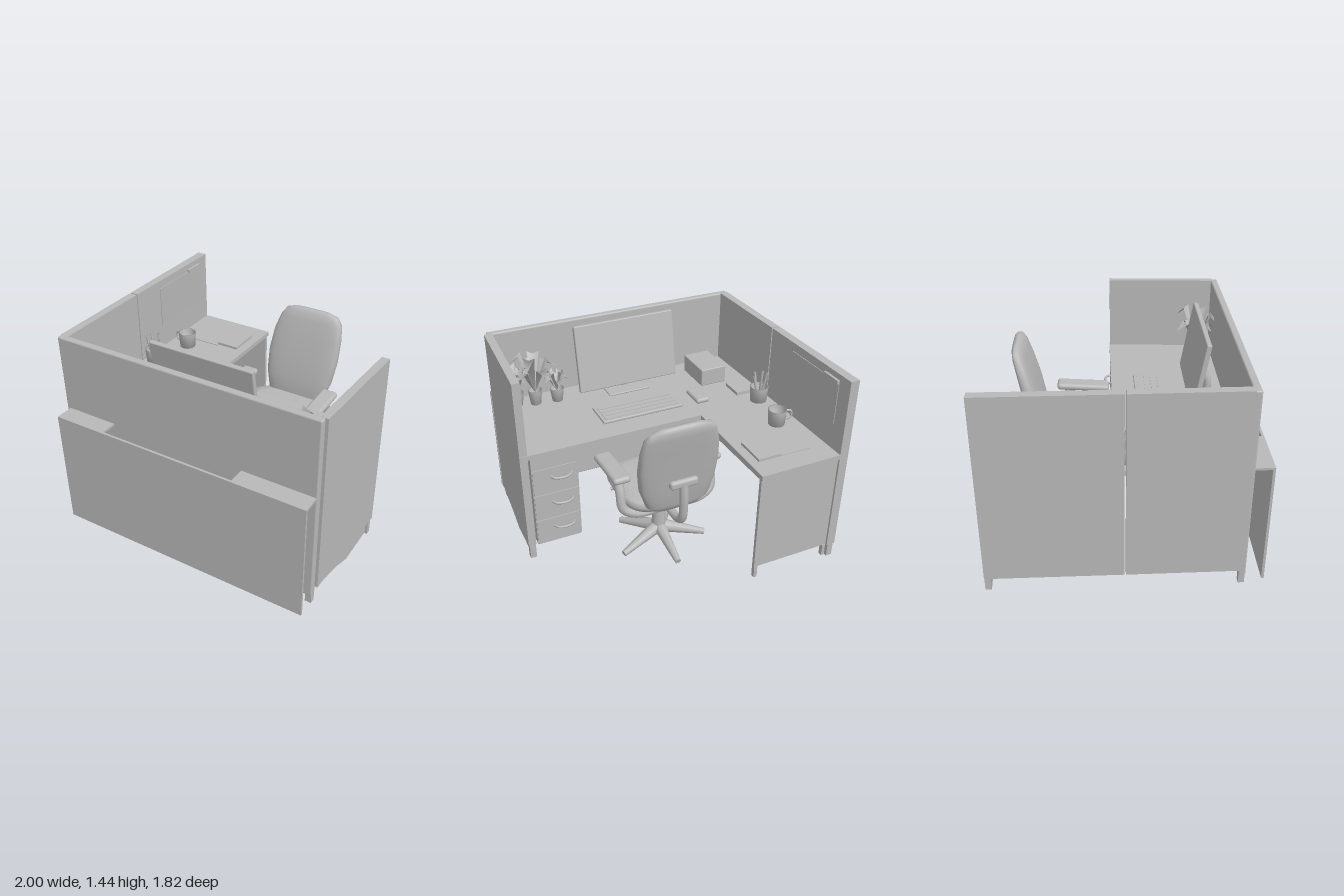
import * as THREE from 'three';
import { RoundedBoxGeometry } from 'three/addons/geometries/RoundedBoxGeometry.js';

export function createModel() {
  const root = new THREE.Group();
  const grey = new THREE.MeshStandardMaterial({ color: 0xb8b8b8, side: THREE.DoubleSide });
  grey.name = 'plain grey';

  const add = (name, geo, parent = root) => {
    const m = new THREE.Mesh(geo, grey);
    m.name = name;
    parent.add(m);
    return m;
  };
  const group = (name) => {
    const g = new THREE.Group();
    g.name = name;
    root.add(g);
    return g;
  };
  // box from its limits, optionally rounded
  const box = (name, x0, x1, y0, y1, z0, z1, r = 0, parent = root) => {
    const s = [x1 - x0, y1 - y0, z1 - z0];
    const m = add(name, r ? new RoundedBoxGeometry(...s, 3, r) : new THREE.BoxGeometry(...s), parent);
    m.position.set((x0 + x1) / 2, (y0 + y1) / 2, (z0 + z1) / 2);
    return m;
  };
  // upright prism over a floor plan of [x, z] corners
  const slab = (name, plan, y0, y1, parent = root) => {
    const shape = new THREE.Shape(plan.map(([x, z]) => new THREE.Vector2(x, -z)));
    const geo = new THREE.ExtrudeGeometry(shape, { depth: y1 - y0, bevelEnabled: false });
    geo.rotateX(-Math.PI / 2).translate(0, y0, 0);
    return add(name, geo, parent);
  };
  const tube = (name, pts, r, parent = root) => add(name, new THREE.TubeGeometry(
    new THREE.CatmullRomCurve3(pts.map((p) => new THREE.Vector3(...p))), 20, r, 8), parent);
  // closed skin through rounded rings: [x, y, z, half width, half depth]
  const loft = (name, rings, power, parent) => {
    const n = 28, pos = [], idx = [];
    const sp = (v) => Math.sign(v) * Math.abs(v) ** power;
    for (const [x, y, z, w, d] of rings) for (let i = 0; i < n; i++) {
      const a = (i / n) * Math.PI * 2;
      pos.push(x + w * sp(Math.cos(a)), y, z - d * sp(Math.sin(a)));
    }
    for (let k = 0; k < rings.length - 1; k++) for (let i = 0; i < n; i++) {
      const a = k * n + i, b = k * n + (i + 1) % n;
      idx.push(a, b, a + n, b, b + n, a + n);
    }
    const g = new THREE.BufferGeometry();
    g.setAttribute('position', new THREE.Float32BufferAttribute(pos, 3));
    g.setIndex(idx);
    g.computeVertexNormals();
    return add(name, g, parent);
  };

  // partition walls, slightly splayed, with feet at the ends
  const walls = group('partitionWalls');
  box('frontWall', -0.97, 0.95, 0.06, 1.41, 0.73, 0.78, 0.012, walls);
  slab('leftEndWallRear', [[-1, -0.91], [-0.935, -0.91], [-0.925, -0.01], [-0.985, -0.01]], 0.1, 1.41, walls);
  slab('leftEndWallFront', [[-0.985, 0], [-0.925, 0], [-0.91, 0.74], [-0.97, 0.74]], 0.1, 1.41, walls);
  slab('shortWall', [[0.945, -0.06], [1, -0.06], [0.97, 0.74], [0.915, 0.74]], 0.12, 1.41, walls);
  for (const [x, z] of [[-0.965, -0.89], [-0.945, 0.755], [0.925, 0.755], [0.97, -0.035]])
    box('wallFoot', x - 0.022, x + 0.022, 0, 0.14, z - 0.02, z + 0.02, 0, walls);
  // stepped skirting under the short wall
  const kick = new THREE.Shape([[0.7, 0.13], [0.55, 0.1], [0.45, 0.07], [0.3, 0.01], [-0.05, 0.01], [-0.02, 0.13]]
    .map(([z, y]) => new THREE.Vector2(-z, y)));
  const skirting = add('skirting', new THREE.ExtrudeGeometry(kick, { depth: 0.02, bevelEnabled: false }), walls);
  skirting.rotation.y = Math.PI / 2;
  skirting.position.x = 0.955;

  // outer counter in front of the wall, with an opening in its top
  const counter = group('frontCounter');
  box('counterFace', -0.94, 0.945, 0.01, 0.87, 0.893, 0.91, 0, counter);
  box('counterTopRight', -0.94, -0.56, 0.855, 0.87, 0.78, 0.91, 0, counter);
  box('counterTopLeft', 0.43, 0.945, 0.855, 0.87, 0.78, 0.91, 0, counter);

  // L-shaped desk with end panel and drawer pedestal
  const desk = group('desk');
  slab('deskTop', [[-0.94, -0.91], [-0.34, -0.91], [-0.34, -0.065], [0.99, -0.065], [0.955, 0.73], [-0.94, 0.73]], 0.832, 0.866, desk);
  box('endPanel', -0.94, -0.345, 0.1, 0.832, -0.895, -0.87, 0, desk);
  for (const x of [-0.37, -0.93]) box('endPanelFoot', x, x + 0.025, 0.01, 0.1, -0.9, -0.87, 0, desk);
  box('pedestal', 0.6, 0.93, 0.11, 0.832, -0.055, 0.7, 0, desk);
  for (const y of [0.24, 0.45, 0.66]) {
    box('drawerFront', 0.61, 0.925, y - 0.13, y + 0.07, -0.062, -0.055, 0, desk);
    tube('drawerPull', [[0.65, y, -0.06], [0.67, y, -0.09], [0.725, y, -0.105], [0.78, y, -0.09], [0.8, y, -0.06]], 0.009, desk);
  }

  // notice board on the long wall
  const board = box('noticeBoard', -0.935, -0.926, 1.05, 1.35, -0.8, -0.28);
  board.rotation.y = 0.012;
  box('boardClip', -0.94, -0.915, 1.345, 1.37, -0.8, -0.65);

  // screen leaning back, on a small stand
  const screen = group('screen');
  const panel = box('screenPanel', -0.39, 0.38, 0.945, 1.44, 0.49, 0.525, 0.008, screen);
  panel.rotation.x = 0.17;
  box('screenBase', -0.17, 0.15, 0.866, 0.88, 0.46, 0.64, 0.006, screen);
  tube('screenNeck', [[-0.01, 0.87, 0.59], [-0.01, 1.0, 0.6], [-0.01, 1.15, 0.53]], 0.03, screen);

  // keyboard with rows of keys, mouse, pads and boxes
  const keyboard = group('keyboard');
  box('keyboardBody', -0.28, 0.34, 0.866, 0.888, 0.1, 0.33, 0.008, keyboard);
  for (let r = 0; r < 4; r++)
    box('keyRow', -0.255, 0.315, 0.886, 0.892, 0.125 + r * 0.048, 0.16 + r * 0.048, 0, keyboard);
  box('mouse', -0.49, -0.385, 0.866, 0.905, 0.08, 0.27, 0.018);
  box('notePad', -0.89, -0.72, 0.866, 0.89, 0.08, 0.25);
  box('deskBox', -0.75, -0.545, 0.866, 1.0, 0.32, 0.62, 0.008);
  box('paperSheet', -0.8, -0.57, 0.866, 0.871, -0.755, -0.5);
  box('book', -0.575, -0.405, 0.866, 0.885, -0.755, -0.52);

  // open cups and pots
  const cup = (name, x, z, r0, r1, h, parent = root) => {
    const pts = [[0, 0], [r0, 0], [r1, h], [r1 * 0.88, h], [r0 * 0.85, 0.015], [0, 0.015]];
    const m = add(name, new THREE.LatheGeometry(pts.map((p) => new THREE.Vector2(...p)), 20), parent);
    m.position.set(x, 0.866, z);
  };
  cup('mug', -0.77, -0.385, 0.058, 0.067, 0.115);
  tube('mugHandle', [[-0.83, 0.96, -0.39], [-0.87, 0.955, -0.4], [-0.875, 0.91, -0.4], [-0.83, 0.89, -0.39]], 0.009);
  cup('penPot', -0.83, -0.04, 0.06, 0.068, 0.115);
  for (let i = 0; i < 5; i++) {
    const a = i * 1.26;
    tube('pen', [[-0.83, 0.88, -0.04], [-0.83 + 0.03 * Math.cos(a), 0.98, -0.04 + 0.03 * Math.sin(a)],
      [-0.83 + 0.05 * Math.cos(a), 1.07 + 0.008 * i, -0.04 + 0.05 * Math.sin(a)]], 0.008);
  }

  // potted plants with folded, drooping leaves
  const plants = group('plants');
  [[0.52, 0.58, 0.16, 0.09, 0.1], [0.68, 0.6, 0.3, 0.17, 0.11], [0.81, 0.63, 0.22, 0.12, 0.1]].forEach(([x, z, h, reach, pot], k) => {
    cup('pot', x, z, 0.038, 0.052, pot, plants);
    for (let i = 0; i < 9; i++) {
      const a = i * 2.4 + k, rise = h * (0.55 + 0.45 * ((i * 5) % 9) / 8);
      const c = Math.cos(a), s = Math.sin(a), w = reach * 0.26, y = 0.866 + pot - 0.02;
      const mid = [c * reach * 0.55, y + rise, s * reach * 0.55];
      const tip = [c * reach, y + rise * 0.8, s * reach];
      const g = new THREE.BufferGeometry();
      g.setAttribute('position', new THREE.Float32BufferAttribute([
        0, y, 0, ...mid, mid[0] - s * w, mid[1] + 0.02, mid[2] + c * w,
        mid[0] + s * w, mid[1] + 0.02, mid[2] - c * w, ...tip], 3));
      g.setIndex([0, 1, 2, 0, 3, 1, 1, 4, 2, 1, 3, 4]);
      g.computeVertexNormals();
      add('leaf', g, plants).position.set(x, 0, z);
    }
  });

  // office chair
  const chair = group('chair');
  const cx = 0.1;
  loft('seat', [[cx, 0.525, -0.29, 0, 0], [cx, 0.525, -0.29, 0.24, 0.22], [cx, 0.545, -0.29, 0.31, 0.29],
    [cx, 0.585, -0.29, 0.33, 0.31], [cx, 0.615, -0.29, 0.31, 0.29], [cx, 0.63, -0.29, 0.24, 0.22],
    [cx, 0.625, -0.29, 0, 0]], 0.6, chair);
  loft('backrest', [[cx, 0.54, -0.57, 0, 0], [cx, 0.55, -0.57, 0.15, 0.03], [cx, 0.6, -0.57, 0.22, 0.055],
    [0.11, 0.75, -0.595, 0.265, 0.062], [0.12, 0.92, -0.63, 0.28, 0.06], [0.13, 1.08, -0.67, 0.27, 0.052],
    [0.14, 1.19, -0.7, 0.245, 0.046], [0.14, 1.24, -0.715, 0.21, 0.036], [0.14, 1.262, -0.72, 0.14, 0.018],
    [0.14, 1.265, -0.72, 0, 0]], 0.6, chair);
  tube('backBar', [[cx, 0.47, -0.35], [cx, 0.46, -0.58], [cx, 0.5, -0.66], [cx, 0.65, -0.685], [cx, 0.8, -0.675]], 0.03, chair);
  box('backBracket', cx - 0.1, cx + 0.1, 0.77, 0.83, -0.7, -0.63, 0.02, chair);
  for (const s of [-1, 1]) {
    const x = cx + s * 0.335;
    const pad = box('armPad', x - 0.062, x + 0.062, 0.735, 0.785, -0.47, -0.08, 0.024, chair);
    pad.rotation.x = 0.06;
    tube('armSupport', [[x, 0.75, -0.36], [x, 0.65, -0.41], [x - s * 0.01, 0.53, -0.44],
      [x - s * 0.1, 0.48, -0.46], [cx, 0.475, -0.45]], 0.034, chair);
  }
  box('tiltMechanism', cx - 0.12, cx + 0.12, 0.47, 0.53, -0.45, -0.1, 0.02, chair);
  box('hub', cx - 0.08, cx + 0.08, 0.39, 0.48, -0.39, -0.2, 0.02, chair);
  tube('lever', [[cx, 0.5, -0.18], [cx + 0.2, 0.47, -0.12], [cx + 0.28, 0.45, -0.09]], 0.012, chair);
  const column = add('column', new THREE.CylinderGeometry(0.042, 0.055, 0.28, 16), chair);
  column.position.set(cx, 0.28, -0.3);
  // five tapered legs
  for (let i = 0; i < 5; i++) {
    const leg = add('starLeg', new THREE.CylinderGeometry(0.022, 0.05, 0.34, 8), chair);
    leg.geometry.translate(0, 0.17, 0).rotateZ(-Math.PI / 2 - 0.26);
    leg.position.set(cx, 0.19, -0.3);
    leg.rotation.y = 0.3 + (i * Math.PI * 2) / 5;
  }
  return root;
}
